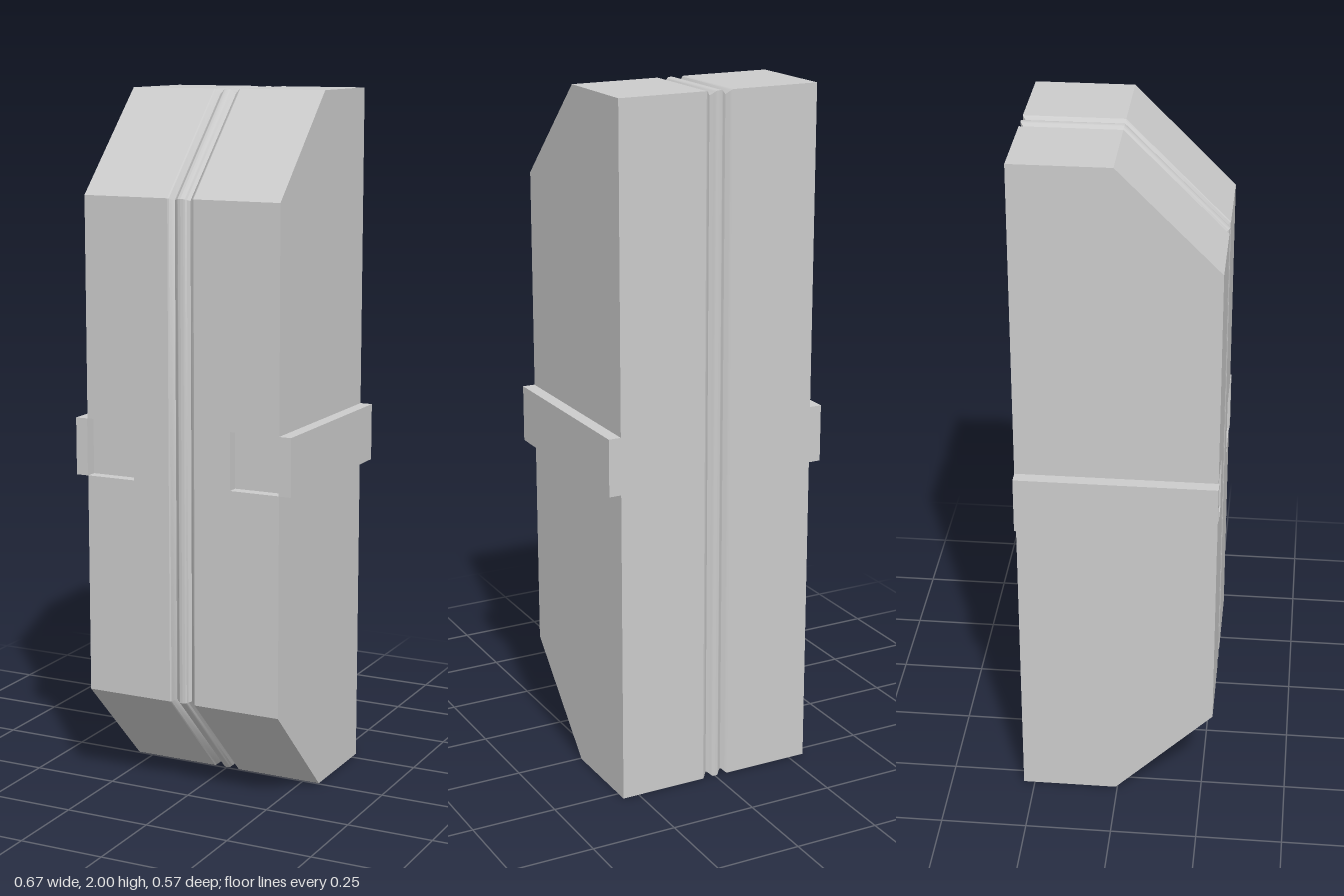
import * as THREE from 'three';
import { toCreasedNormals } from 'three/addons/utils/BufferGeometryUtils.js';

const FRONT = 0.281, BACK = 0.283, HEIGHT = 2, CHAMFER = 0.286;
const STRAP_LOW = 0.92, STRAP_HIGH = 1.085, STRAP_IN = 0.299, STRAP_OUT = 0.335;
const POCKET_IN = 0.15, POCKET_DEPTH = 0.033;

// Side outline as [-z, y] points, counter-clockwise, shrunk inwards by d
function outline(d) {
  const k = d * Math.tan(Math.PI / 8);
  const knee = CHAMFER - FRONT + k;
  return [
    [knee, d], [BACK - d, d], [BACK - d, HEIGHT - d], [knee, HEIGHT - d],
    [d - FRONT, HEIGHT - CHAMFER - k], [d - FRONT, CHAMFER + k],
  ];
}

// Extrude a side outline between two x positions
function slab(points, x0, x1) {
  const shape = new THREE.Shape(points.map(([u, v]) => new THREE.Vector2(u, v)));
  return new THREE.ExtrudeGeometry(shape, { depth: x1 - x0, bevelEnabled: false })
    .translate(0, 0, x0)
    .rotateY(Math.PI / 2);
}

// Skin the outline across x stations [x, inset]
function loft(stations) {
  const pos = [];
  for (let s = 0; s < stations.length - 1; s++) {
    const [x0, d0] = stations[s], [x1, d1] = stations[s + 1];
    const p = outline(d0), q = outline(d1);
    for (let i = 0; i < p.length; i++) {
      const j = (i + 1) % p.length;
      const a = [...p[i], x0], b = [...p[j], x0], c = [...q[j], x1], e = [...q[i], x1];
      pos.push(...a, ...b, ...c, ...a, ...c, ...e);
    }
  }
  const geo = new THREE.BufferGeometry();
  geo.setAttribute('position', new THREE.Float32BufferAttribute(pos, 3));
  geo.rotateY(Math.PI / 2);
  return toCreasedNormals(geo, 0.6);
}

export function createModel() {
  const group = new THREE.Group();
  const material = new THREE.MeshStandardMaterial({ color: 0xcccccc });
  const add = (name, geometry, parent = group) => {
    const mesh = new THREE.Mesh(geometry, material);
    mesh.name = name;
    parent.add(mesh);
    return mesh;
  };

  // Central bead between two grooves, running all around the body
  const half = [[0, 0], [0.008, 0.001], [0.012, 0.004], [0.016, 0.008],
    [0.024, 0.014], [0.032, 0.006], [0.036, 0.002], [0.04, 0]];
  const mirrored = half.slice(1).reverse().map(([x, d]) => [-x, d]);
  add('centreSeam', loft([...mirrored, ...half]));

  // Outline of the outer slabs, notched at the front for the pocket
  const notched = [...outline(0).slice(0, 5),
    [-FRONT, STRAP_HIGH], [POCKET_DEPTH - FRONT, STRAP_HIGH],
    [POCKET_DEPTH - FRONT, STRAP_LOW], [-FRONT, STRAP_LOW],
    outline(0)[5]];

  for (const [side, sign] of [['left', 1], ['right', -1]]) {
    const part = new THREE.Group();
    part.name = side + 'Half';
    group.add(part);
    const span = (points, a, b) => slab(points, Math.min(sign * a, sign * b), Math.max(sign * a, sign * b));

    add(side + 'InnerBody', span(outline(0), 0.04, POCKET_IN), part);
    add(side + 'PocketBody', span(notched, POCKET_IN, STRAP_IN), part);

    // Band across the side, closing the outer end of the pocket
    const band = add(side + 'SideBand',
      new THREE.BoxGeometry(STRAP_OUT - STRAP_IN, STRAP_HIGH - STRAP_LOW, 2 * BACK), part);
    band.position.set(sign * (STRAP_IN + STRAP_OUT) / 2, (STRAP_LOW + STRAP_HIGH) / 2, 0);
  }
  return group;
}
